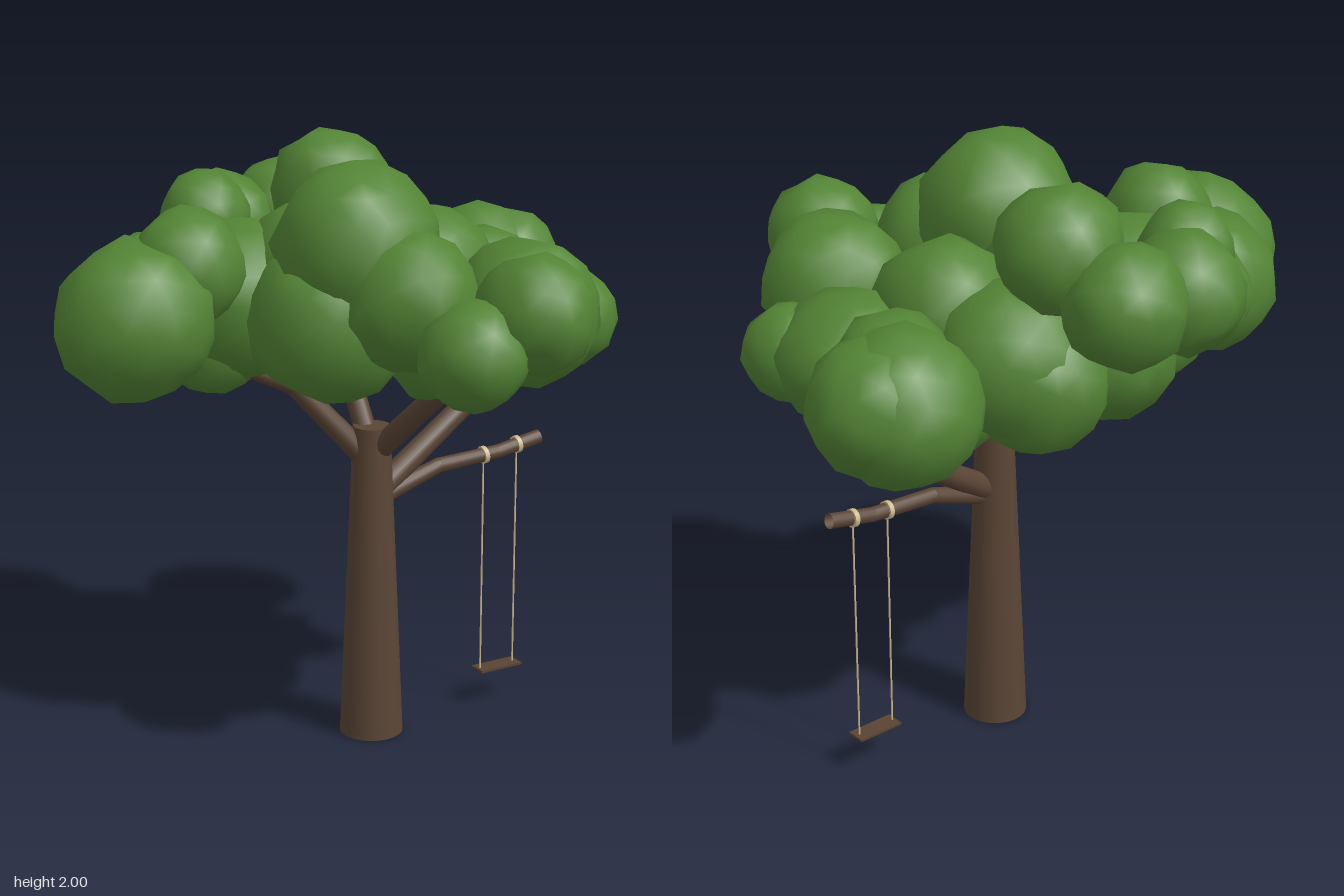
import * as THREE from 'three';
import { mergeVertices } from 'three/addons/utils/BufferGeometryUtils.js';

const mat = (name, color, side = THREE.FrontSide) => {
  const m = new THREE.MeshStandardMaterial({ color, side });
  m.name = name;
  return m;
};

export function createModel() {
  const bark = mat('bark', 0x5a4535, THREE.DoubleSide);
  const leaf = mat('leaf', 0x538435);
  const rope = mat('rope', 0xcdb98c);
  const plank = mat('plank', 0x594334);

  const model = new THREE.Group();
  model.name = 'treeWithSwing';

  const add = (parent, name, geometry, material, x = 0, y = 0, z = 0) => {
    const mesh = new THREE.Mesh(geometry, material);
    mesh.name = name;
    mesh.position.set(x, y, z);
    parent.add(mesh);
    return mesh;
  };

  // Small seeded generator for the uneven foliage
  let seed = 7;
  const random = () => {
    seed = (seed * 16807) % 2147483647;
    return seed / 2147483647;
  };

  // Trunk
  add(model, 'trunk', new THREE.CylinderGeometry(0.062, 0.107, 1.08, 24), bark, 0.06, 0.54, -0.03);

  // Branch: tapered open tubes between points [x, y, z, radius], with rounded bends
  const up = new THREE.Vector3(0, 1, 0);
  const branch = (name, points) => {
    const group = new THREE.Group();
    group.name = name;
    model.add(group);
    for (let i = 0; i < points.length - 1; i++) {
      const a = new THREE.Vector3(...points[i].slice(0, 3));
      const b = new THREE.Vector3(...points[i + 1].slice(0, 3));
      const dir = b.clone().sub(a);
      const piece = add(group, 'branchPiece',
        new THREE.CylinderGeometry(points[i + 1][3], points[i][3], dir.length(), 14, 1, true), bark);
      piece.position.copy(a).add(b).multiplyScalar(0.5);
      piece.quaternion.setFromUnitVectors(up, dir.normalize());
      if (i > 0) add(group, 'bend', new THREE.SphereGeometry(points[i][3], 14, 10), bark, a.x, a.y, a.z);
    }
  };
  branch('swingBranch', [[0.07, 0.82, -0.03, 0.032], [0.32, 0.9, -0.03, 0.026], [0.56, 0.912, -0.03, 0.024], [0.725, 0.942, -0.025, 0.025]]);
  branch('leftBranch', [[0.07, 0.84, -0.03, 0.042], [0.48, 1.1, -0.08, 0.037], [0.78, 1.255, -0.11, 0.034]]);
  branch('rightBranch', [[0.06, 0.95, -0.03, 0.04], [-0.18, 1.23, -0.12, 0.034], [-0.43, 1.345, -0.18, 0.028]]);
  branch('frontBranch', [[0.07, 0.99, -0.02, 0.04], [0.14, 1.22, 0.22, 0.036], [0.2, 1.42, 0.42, 0.03]]);
  branch('backBranch', [[0.06, 1.0, -0.04, 0.038], [0.05, 1.25, -0.17, 0.034], [0.06, 1.5, -0.4, 0.03]]);

  // Foliage: lumpy balls, [x, y, z, radius, height factor]
  const clumps = [
    [-0.74, 1.51, -0.12, 0.255], [-0.55, 1.66, -0.13, 0.185], [-0.56, 1.51, -0.35, 0.225],
    [-0.09, 1.72, 0.13, 0.265], [-0.1, 1.6, -0.12, 0.24], [-0.17, 1.49, 0.1, 0.26],
    [-0.3, 1.5, -0.25, 0.27], [-0.39, 1.38, -0.28, 0.18], [-0.39, 1.55, -0.46, 0.185],
    [0.125, 1.8, -0.41, 0.2], [-0.29, 1.73, -0.52, 0.15], [-0.17, 1.66, -0.64, 0.19],
    [0.08, 1.68, -0.65, 0.19], [-0.06, 1.45, -0.39, 0.25], [0.3, 1.56, -0.08, 0.22],
    [0.25, 1.46, -0.33, 0.25], [0.2, 1.4, -0.41, 0.22], [0.4, 1.345, -0.18, 0.21],
    [0.17, 1.41, 0.2, 0.2], [0.37, 1.51, 0.39, 0.235], [0.23, 1.575, 0.65, 0.185],
    [0.03, 1.46, 0.62, 0.17], [-0.02, 1.58, 0.34, 0.22], [0.57, 1.43, 0.04, 0.24, 0.88],
    [0.67, 1.42, 0.21, 0.155], [0.6, 1.48, -0.2, 0.18], [0.71, 1.45, -0.385, 0.245],
    [0.79, 1.47, -0.37, 0.205],
  ];
  const foliage = new THREE.Group();
  foliage.name = 'foliage';
  model.add(foliage);
  const v = new THREE.Vector3();
  const turn = new THREE.Euler();
  for (const [x, y, z, r, height = 1] of clumps) {
    let geo = new THREE.IcosahedronGeometry(r, 2);
    geo.deleteAttribute('uv');
    geo.deleteAttribute('normal');
    geo = mergeVertices(geo, 1e-4);
    turn.set(random() * 6, random() * 6, random() * 6);
    const pos = geo.attributes.position;
    for (let i = 0; i < pos.count; i++) {
      v.fromBufferAttribute(pos, i).multiplyScalar(0.95 + 0.11 * random()).applyEuler(turn);
      pos.setXYZ(i, v.x, v.y * height, v.z);
    }
    geo.computeVertexNormals();
    add(foliage, 'leafClump', geo, leaf, x, y, z);
  }

  // Swing: two ropes bound round the branch, with a plank seat
  const swing = new THREE.Group();
  swing.name = 'swing';
  model.add(swing);
  for (const [x, y] of [[0.503, 0.909], [0.638, 0.926]]) {
    add(swing, 'rope', new THREE.CylinderGeometry(0.0032, 0.0032, y - 0.128, 8), rope, x, (y + 0.128) / 2, -0.03);
    const binding = add(swing, 'ropeBinding', new THREE.CylinderGeometry(0.03, 0.03, 0.016, 16), rope, x, y, -0.03);
    binding.rotation.z = Math.PI / 2 + 0.1;
  }
  add(swing, 'seat', new THREE.BoxGeometry(0.165, 0.008, 0.065), plank, 0.573, 0.126, -0.03);

  return model;
}
